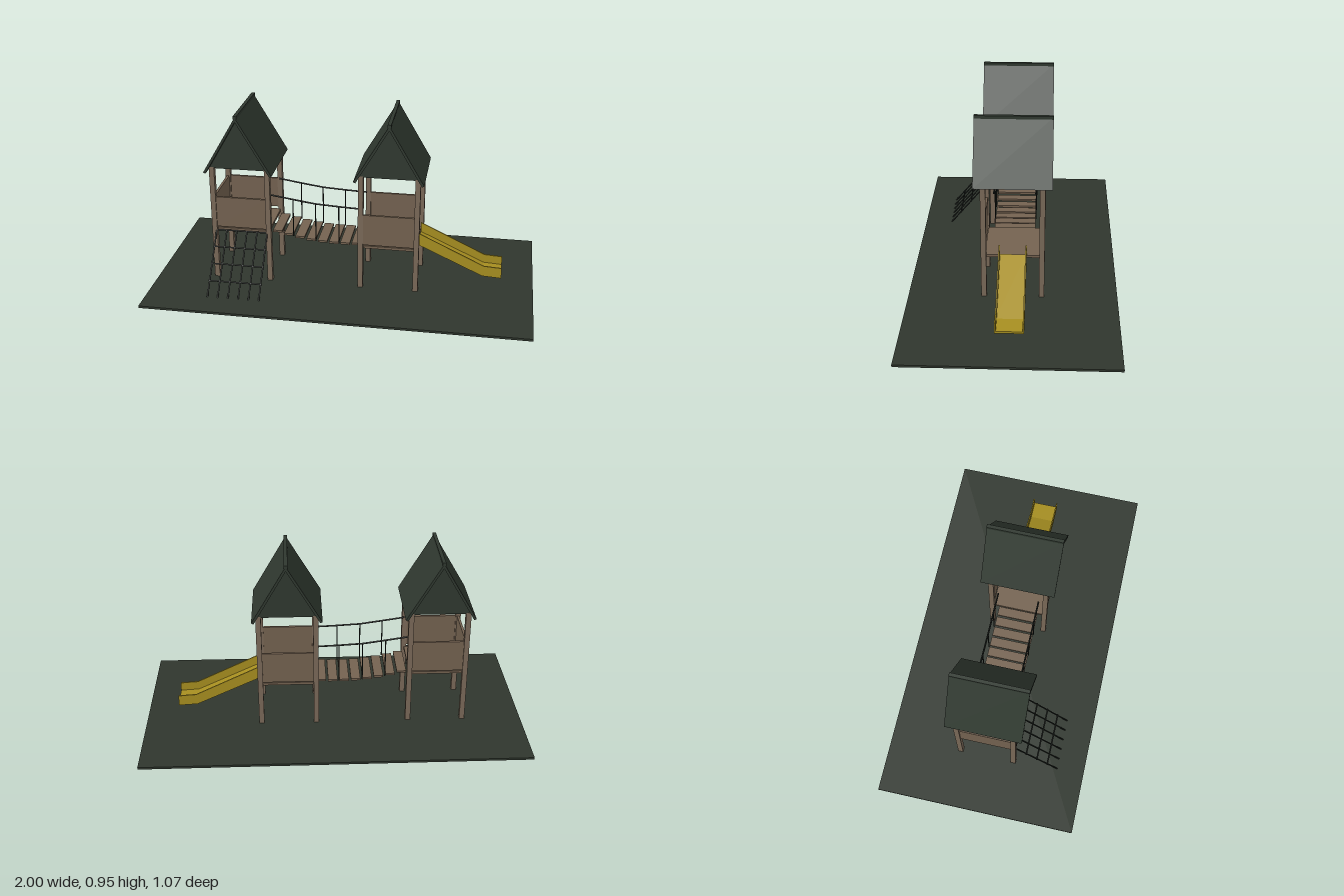
import * as THREE from 'three';

const mat = (name, color, extra = {}) => {
  const m = new THREE.MeshStandardMaterial({ color, ...extra });
  m.name = name;
  return m;
};

export function createModel() {
  const wood = mat('post wood', 0x7a6958);
  const panelWood = mat('panel wood', 0x746250);
  const green = mat('roof green', 0x2f382f);
  const turf = mat('ground green', 0x2f362d);
  const rope = mat('dark rope', 0x1b201c);
  const yellow = mat('slide yellow', 0xa68e20);

  const model = new THREE.Group();
  model.name = 'playground';

  const add = (parent, name, geo, material, x = 0, y = 0, z = 0) => {
    const mesh = new THREE.Mesh(geo, material);
    mesh.name = name;
    mesh.position.set(x, y, z);
    parent.add(mesh);
    return mesh;
  };
  const box = (parent, name, material, w, h, d, x, y, z) =>
    add(parent, name, new THREE.BoxGeometry(w, h, d), material, x, y, z);

  // Round bar between two points
  const bar = (parent, name, a, b, radius) => {
    const from = new THREE.Vector3(...a), to = new THREE.Vector3(...b);
    const dir = to.clone().sub(from);
    const mesh = add(parent, name, new THREE.CylinderGeometry(radius, radius, dir.length(), 8), rope);
    mesh.position.copy(from).add(to).multiplyScalar(0.5);
    mesh.quaternion.setFromUnitVectors(new THREE.Vector3(0, 1, 0), dir.normalize());
  };

  // Outline in x and y, extruded symmetrically along z
  const extrude = (points, depth) => {
    const shape = new THREE.Shape(points.map(p => new THREE.Vector2(...p)));
    return new THREE.ExtrudeGeometry(shape, { depth, bevelEnabled: false }).translate(0, 0, -depth / 2);
  };

  box(model, 'ground', turf, 2, 0.012, 1.07, 0, 0.006, 0);

  // Towers: posts, platform, side panels and gabled roof
  const tower = (name, x, floorY, hasEndPanel) => {
    const g = new THREE.Group();
    g.name = name;
    g.position.x = x;
    model.add(g);
    for (const sx of [-1, 1]) for (const sz of [-1, 1])
      box(g, 'post', wood, 0.027, 0.65, 0.027, sx * 0.146, 0.326, sz * 0.147);
    box(g, 'platform', panelWood, 0.29, 0.014, 0.28, 0, floorY, 0);
    const panelY = floorY + 0.104;
    for (const sz of [-1, 1])
      box(g, 'sidePanel', panelWood, 0.268, 0.17, 0.013, 0, panelY, sz * 0.147);
    if (hasEndPanel)
      box(g, 'endPanel', panelWood, 0.013, 0.17, 0.268, -0.146, panelY, 0);

    add(g, 'roofSlopes', extrude([
      [0, 0.94], [-0.18, 0.632], [-0.168, 0.626], [0, 0.915], [0.168, 0.626], [0.18, 0.632],
    ], 0.39), green);
    add(g, 'gableBody', extrude([[-0.158, 0.645], [0.158, 0.645], [0, 0.918]], 0.32), green);
    box(g, 'ridgeCap', green, 0.018, 0.016, 0.39, 0, 0.938, 0);
  };
  tower('tallTower', -0.54, 0.291, true);
  tower('slideTower', 0.24, 0.242, false);

  // Sagging plank bridge
  const bridge = new THREE.Group();
  bridge.name = 'bridge';
  model.add(bridge);
  const deckY = t => 0.288 - 0.048 * t - 0.022 * Math.sin(Math.PI * t);
  for (let i = 0; i < 8; i++)
    box(bridge, 'plank', panelWood, 0.05, 0.011, 0.215, -0.358 + i * 0.0605, deckY((i + 0.5) / 8), 0);

  // Rope rails with hangers
  const rail = [[-0.39, 0.492], [-0.27, 0.474], [-0.15, 0.457], [-0.027, 0.45], [0.09, 0.445]];
  for (const z of [-0.11, 0.11]) {
    for (let i = 0; i < rail.length - 1; i++)
      bar(bridge, 'handRope', [...rail[i], z], [...rail[i + 1], z], 0.0045);
    for (const [x, y] of rail.slice(1, 4))
      bar(bridge, 'hangerRope', [x, y, z], [x, deckY((x + 0.388) / 0.484), z], 0.003);
  }

  // Sloping climbing net
  const net = new THREE.Group();
  net.name = 'climbingNet';
  model.add(net);
  for (let i = 0; i < 6; i++) {
    const x = -0.677 + i * 0.0548;
    bar(net, 'netUpright', [x, 0.29, 0.155], [x, 0.007, 0.39], 0.004);
  }
  for (let i = 0; i < 5; i++) {
    const t = i / 4, y = 0.29 - 0.283 * t, z = 0.155 + 0.235 * t;
    bar(net, 'netRung', [-0.683, y, z], [-0.397, y, z], 0.004);
  }

  // Slide: bed between two raised sides
  const slide = new THREE.Group();
  slide.name = 'slide';
  model.add(slide);
  add(slide, 'slideBed', extrude([
    [0.39, 0.243], [0.73, 0.087], [0.83, 0.081], [0.83, 0.092], [0.732, 0.098], [0.39, 0.256],
  ], 0.134), yellow);
  for (const z of [-0.067, 0.067])
    add(slide, 'slideSide', extrude([
      [0.39, 0.242], [0.73, 0.086], [0.83, 0.08], [0.83, 0.138], [0.735, 0.144], [0.39, 0.308],
    ], 0.007), yellow, 0, 0, z);

  return model;
}
